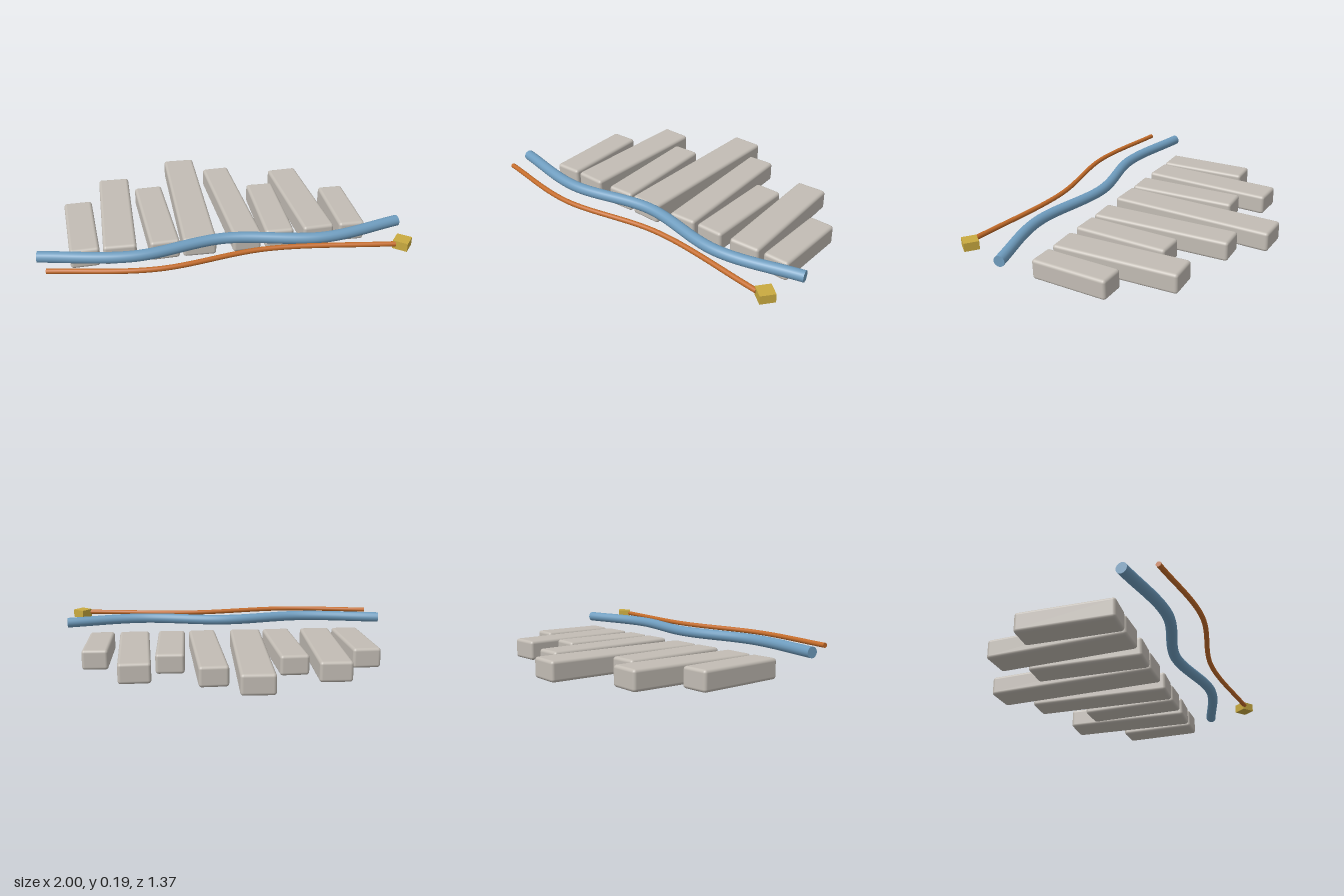
import * as THREE from 'three';
import { RoundedBoxGeometry } from 'three/addons/geometries/RoundedBoxGeometry.js';

const material = (name, color) => {
  const m = new THREE.MeshStandardMaterial({ color });
  m.name = name;
  return m;
};

// Smooth level tube through [x, z] points, closed with a disc at each end
function cord(name, points, y, radius, mat) {
  const group = new THREE.Group();
  group.name = name;
  const curve = new THREE.CatmullRomCurve3(points.map(([x, z]) => new THREE.Vector3(x, y, z)));
  const tube = new THREE.Mesh(new THREE.TubeGeometry(curve, 80, radius, 16), mat);
  tube.name = name + 'Tube';
  group.add(tube);
  for (const end of [0, 1]) {
    const cap = new THREE.Mesh(new THREE.CircleGeometry(radius, 16), mat);
    const p = curve.getPoint(end);
    const outward = curve.getTangent(end).multiplyScalar(end ? 1 : -1);
    cap.position.copy(p);
    cap.lookAt(p.clone().add(outward));
    cap.name = name + 'Cap';
    group.add(cap);
  }
  return group;
}

export function createModel() {
  const model = new THREE.Group();
  model.name = 'slabsAndCords';
  const stone = material('warm grey', 0xc2bcb4);
  const blue = material('soft blue', 0x6f9dbf);
  const copper = material('copper orange', 0xc46c2a);
  const brass = material('brass yellow', 0xc9aa40);

  // Slabs share a front line: centre x, width, back z, yaw
  const slabs = [
    [-0.757, 0.163, -0.238, 0.030],
    [-0.545, 0.183, -0.497, -0.033],
    [-0.320, 0.165, -0.352, 0.033],
    [-0.102, 0.188, -0.690, -0.028],
    [0.142, 0.163, -0.530, 0.033],
    [0.350, 0.163, -0.268, -0.028],
    [0.560, 0.180, -0.440, 0.033],
    [0.775, 0.150, -0.153, -0.028],
  ];
  const front = 0.305, height = 0.116;
  slabs.forEach(([x, width, back, yaw], i) => {
    const slab = new THREE.Mesh(new RoundedBoxGeometry(width, height, front - back - 0.004, 4, 0.018), stone);
    slab.position.set(x, height / 2 + 0.002, (front + back) / 2);
    slab.rotation.y = yaw;
    slab.name = 'slab' + (i + 1);
    model.add(slab);
  });

  // Thick and thin wavy cords in front of the slabs
  model.add(cord('thickCord',
    [[-0.993, 0.388], [-0.5, 0.476], [0, 0.392], [0.53, 0.482], [0.993, 0.386]], 0.16, 0.031, blue));
  model.add(cord('thinCord',
    [[-0.945, 0.554], [-0.4, 0.637], [0.2, 0.558], [0.88, 0.638]], 0.175, 0.014, copper));

  // Block on the end of the thin cord
  const plug = new THREE.Mesh(new THREE.BoxGeometry(0.081, 0.048, 0.081), brass);
  plug.position.set(0.923, 0.171, 0.628);
  plug.rotation.y = 0.88;
  plug.name = 'endPlug';
  model.add(plug);

  return model;
}
